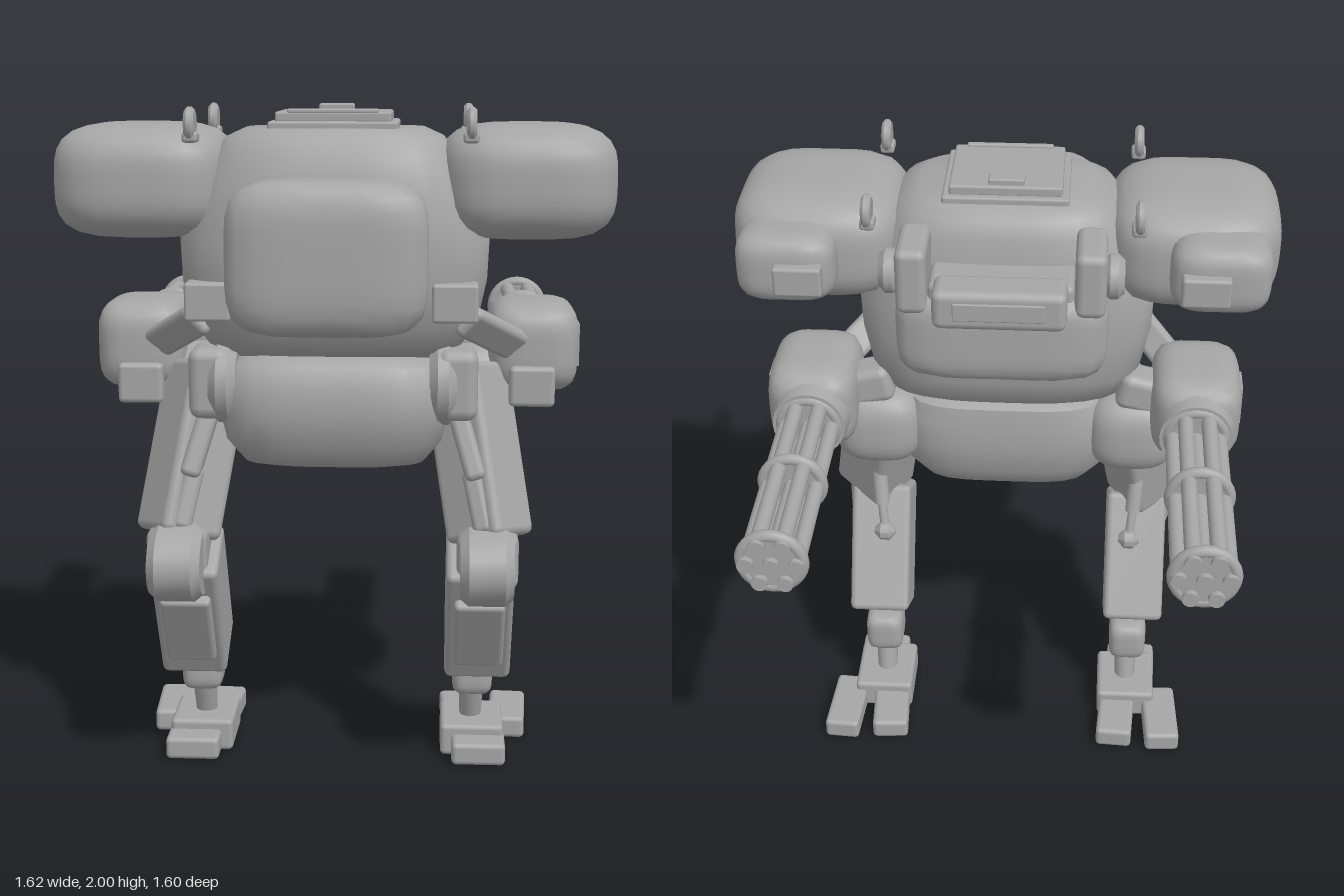
import * as THREE from 'three';
import { mergeVertices, toCreasedNormals } from 'three/addons/utils/BufferGeometryUtils.js';
import { RoundedBoxGeometry } from 'three/addons/geometries/RoundedBoxGeometry.js';

const steel = new THREE.MeshStandardMaterial({ color: 0xa6a6a6 });
steel.name = 'grey steel';
const UP = new THREE.Vector3(0, 1, 0);

function add(parent, name, geo) {
  const mesh = new THREE.Mesh(geo, steel);
  mesh.name = name;
  parent.add(mesh);
  return mesh;
}

// Soft-edged box given by its extents [min, max] on each axis
function box(parent, name, x, y, z, r = 0.015) {
  const w = Math.abs(x[1] - x[0]), h = y[1] - y[0], d = z[1] - z[0];
  const mesh = add(parent, name, new RoundedBoxGeometry(w, h, d, 2, Math.min(r, w / 2.1, h / 2.1, d / 2.1)));
  mesh.position.set((x[0] + x[1]) / 2, (y[0] + y[1]) / 2, (z[0] + z[1]) / 2);
  return mesh;
}

// Swollen armour shell: a sphere pushed out towards its bounding box
function shell(parent, name, x, y, z, n = 3.5) {
  const geo = new THREE.SphereGeometry(1, 32, 20);
  const p = geo.attributes.position;
  const half = [x, y, z].map(([a, b]) => Math.abs(b - a) / 2);
  for (let i = 0; i < p.count; i++) {
    const v = [p.getX(i), p.getY(i), p.getZ(i)];
    const k = v.reduce((sum, c) => sum + Math.abs(c) ** n, 0) ** (-1 / n);
    p.setXYZ(i, v[0] * k * half[0], v[1] * k * half[1], v[2] * k * half[2]);
  }
  geo.deleteAttribute('uv');
  geo.deleteAttribute('normal');
  const merged = mergeVertices(geo);
  merged.computeVertexNormals();
  const mesh = add(parent, name, merged);
  mesh.position.set((x[0] + x[1]) / 2, (y[0] + y[1]) / 2, (z[0] + z[1]) / 2);
  return mesh;
}

// Stacked rounded cross-sections, each [y, half width, back z, front z]
function loft(parent, name, rings, n = 3.4, sides = 40) {
  const pos = [], idx = [];
  for (const [y, hx, z0, z1] of rings) {
    for (let i = 0; i < sides; i++) {
      const a = (i / sides) * Math.PI * 2, c = Math.cos(a), s = Math.sin(a);
      const k = (Math.abs(c) ** n + Math.abs(s) ** n) ** (-1 / n);
      pos.push(c * k * hx, y, (z0 + z1) / 2 + (s * k * (z1 - z0)) / 2);
    }
  }
  const last = rings.length - 1, low = pos.length / 3;
  for (const r of [rings[0], rings[last]]) pos.push(0, r[0], (r[2] + r[3]) / 2);
  for (let i = 0; i < sides; i++) {
    const j = (i + 1) % sides;
    for (let r = 0; r < last; r++) {
      const a = r * sides + i, b = r * sides + j;
      idx.push(a, a + sides, b, b, a + sides, b + sides);
    }
    idx.push(low, i, j, low + 1, last * sides + j, last * sides + i);
  }
  const geo = new THREE.BufferGeometry();
  geo.setAttribute('position', new THREE.Float32BufferAttribute(pos, 3));
  geo.setIndex(idx);
  return add(parent, name, toCreasedNormals(geo, 0.75));
}

// Turn a geometry that stands along y so that it runs from a to b
function span(mesh, a, b) {
  const from = new THREE.Vector3(...a), to = new THREE.Vector3(...b);
  mesh.position.copy(from).add(to).multiplyScalar(0.5);
  mesh.quaternion.setFromUnitVectors(UP, to.sub(from).normalize());
  return mesh;
}
const dist = (a, b) => Math.hypot(a[0] - b[0], a[1] - b[1], a[2] - b[2]);

function beam(parent, name, a, b, w, d, r = 0.02) {
  return span(add(parent, name, new RoundedBoxGeometry(w, dist(a, b), d, 2, Math.min(r, w / 2.1, d / 2.1))), a, b);
}
function rod(parent, name, a, b, r, r2 = r, sides = 16) {
  return span(add(parent, name, new THREE.CylinderGeometry(r2, r, dist(a, b), sides)), a, b);
}

// Round joint with bevelled rims, lying along x
function joint(parent, name, x0, x1, y, z, r) {
  const h = Math.abs(x1 - x0) / 2, c = Math.min(0.025, h * 0.6);
  const profile = [[0, -h], [r - c, -h], [r, c - h], [r, h - c], [r - c, h], [0, h]];
  const geo = new THREE.LatheGeometry(profile.map(([u, v]) => new THREE.Vector2(u, v)), 28);
  geo.rotateZ(Math.PI / 2);
  const mesh = add(parent, name, toCreasedNormals(geo, 0.5));
  mesh.position.set((x0 + x1) / 2, y, z);
  return mesh;
}

function buildLeg(parent, s) {
  const P = (x, y, z) => [s * x, y, z];
  const X = (a, b) => [s * a, s * b];
  // hip
  joint(parent, 'hipJoint', s * 0.28, s * 0.36, 1.2, 0.36, 0.12);
  box(parent, 'hipBlock', X(0.3, 0.42), [1.1, 1.31], [0.27, 0.45], 0.035);
  shell(parent, 'hipGuard', X(0.26, 0.54), [1.03, 1.29], [0.01, 0.24], 3);
  // thigh
  beam(parent, 'thigh', P(0.385, 1.23, 0.23), P(0.465, 0.74, 0.39), 0.19, 0.2, 0.025);
  beam(parent, 'thighStrip', P(0.36, 1.13, 0.38), P(0.42, 0.93, 0.44), 0.07, 0.06);
  beam(parent, 'thighStripLower', P(0.405, 0.96, 0.42), P(0.445, 0.78, 0.47), 0.055, 0.06);
  rod(parent, 'pistonSleeve', P(0.43, 0.9, 0.25), P(0.42, 0.76, 0.21), 0.025);
  rod(parent, 'pistonRod', P(0.43, 0.86, 0.24), P(0.41, 0.67, 0.18), 0.015);
  joint(parent, 'pistonEnd', s * 0.375, s * 0.445, 0.665, 0.18, 0.032);
  // knee
  joint(parent, 'kneeJoint', s * 0.375, s * 0.53, 0.68, 0.47, 0.14).scale.y = 0.82;
  box(parent, 'kneeBlock', X(0.365, 0.545), [0.61, 0.78], [0.32, 0.5], 0.03);
  // shin
  beam(parent, 'shin', P(0.435, 0.705, 0.41), P(0.435, 0.32, 0.2), 0.2, 0.22, 0.02);
  beam(parent, 'shinPlate', P(0.435, 0.57, 0.47), P(0.435, 0.34, 0.335), 0.15, 0.05, 0.015);
  // ankle and foot
  shell(parent, 'ankle', X(0.36, 0.485), [0.19, 0.33], [0.1, 0.25], 5);
  rod(parent, 'ankleRod', P(0.42, 0.08, 0.14), P(0.42, 0.24, 0.185), 0.033, 0.04);
  box(parent, 'foot', X(0.325, 0.52), [0, 0.1], [0.03, 0.26]);
  box(parent, 'frontToe', X(0.36, 0.525), [0, 0.07], [0.2, 0.34]);
  box(parent, 'outerToe', X(0.485, 0.6), [0, 0.07], [-0.14, 0.11]).rotation.y = -s * 0.06;
  box(parent, 'innerToe', X(0.33, 0.45), [0, 0.07], [-0.13, 0.1]).rotation.y = s * 0.06;
}

function buildArm(parent, s) {
  const X = (a, b) => [s * a, s * b];
  // shoulder pod with its rear cap
  shell(parent, 'shoulderPod', X(0.3, 0.81), [1.62, 1.95], [-0.01, 0.51], 3.6);
  shell(parent, 'podRearCap', X(0.48, 0.77), [1.69, 1.9], [-0.12, 0.1], 4);
  box(parent, 'podRearPlate', X(0.51, 0.65), [1.74, 1.83], [-0.15, -0.1], 0.01);
  // lifting lugs
  for (const z of [0.51, -0.01]) {
    joint(parent, 'liftingLug', s * 0.375, s * 0.403, 1.95, z, 0.048);
    box(parent, 'lugBase', X(0.366, 0.41), [1.9, 1.93], [z - 0.03, z + 0.03], 0.01);
  }
  // struts from the torso to the gun pod
  box(parent, 'armMount', X(0.285, 0.415), [1.4, 1.51], [0.39, 0.52], 0.01);
  beam(parent, 'armStrut', [s * 0.38, 1.4, 0.44], [s * 0.56, 1.28, 0.22], 0.05, 0.1);
  beam(parent, 'armAxle', [s * 0.35, 1.33, 0.1], [s * 0.52, 1.29, 0.1], 0.12, 0.12, 0.03);
  // gun pod
  shell(parent, 'gunPod', X(0.45, 0.725), [1.15, 1.42], [-0.08, 0.28], 4.2);
  box(parent, 'ammoBox', X(0.515, 0.65), [1.12, 1.24], [0.1, 0.305]);
  box(parent, 'podSidePlate', X(0.72, 0.73), [1.22, 1.35], [0.06, 0.16], 0.003);
  rod(parent, 'gunCollar', [s * 0.585, 1.275, 0], [s * 0.585, 1.275, -0.11], 0.125, 0.11, 28);
  // barrels around a central one, clamped by rings
  const bar = (x, y) => rod(parent, 'gunBarrel', [s * 0.585 + x, 1.275 + y, -0.05], [s * 0.585 + x, 1.275 + y, -0.8], 0.023);
  bar(0, 0);
  for (let i = 0; i < 6; i++) bar(0.07 * Math.cos((i * Math.PI) / 3), 0.07 * Math.sin((i * Math.PI) / 3));
  for (const z of [-0.1, -0.41, -0.77]) {
    const ring = add(parent, 'barrelClamp', new THREE.TorusGeometry(0.085, 0.018, 10, 32));
    ring.position.set(s * 0.585, 1.275, z);
    rod(parent, 'barrelDisc', [s * 0.585, 1.275, z + 0.014], [s * 0.585, 1.275, z - 0.014], 0.088, 0.088, 32);
  }
}

export function createModel() {
  const model = new THREE.Group();
  model.name = 'walker';

  // torso and pelvis
  loft(model, 'torso', [
    [1.27, 0.3, 0.06, 0.38], [1.3, 0.37, 0.02, 0.44], [1.38, 0.42, -0.01, 0.5], [1.5, 0.445, -0.02, 0.52],
    [1.62, 0.45, -0.02, 0.525], [1.75, 0.405, -0.02, 0.52], [1.86, 0.35, 0, 0.5], [1.91, 0.315, 0.02, 0.47], [1.935, 0.26, 0.05, 0.44],
  ]);
  loft(model, 'pelvis', [
    [0.945, 0.2, 0.1, 0.36], [0.965, 0.27, 0.07, 0.43], [1.03, 0.32, 0.03, 0.48], [1.12, 0.34, 0.02, 0.495],
    [1.2, 0.34, 0.02, 0.495], [1.26, 0.31, 0.03, 0.47], [1.285, 0.25, 0.07, 0.42],
  ], 4);
  shell(model, 'chestPod', [-0.275, 0.275], [1.39, 1.81], [0.52, 0.8], 4.8);

  // roof hatch
  box(model, 'hatchFrame', [-0.185, 0.185], [1.92, 1.955], [0.08, 0.41], 0.008);
  box(model, 'hatchLid', [-0.165, 0.165], [1.95, 1.982], [0.1, 0.39], 0.008);
  box(model, 'hatchHandle', [-0.055, 0.05], [1.975, 2], [0.11, 0.155], 0.006);
  box(model, 'hatchHinge', [-0.13, 0.13], [1.975, 1.99], [0.37, 0.39], 0.006);

  // rear housing and sensor
  shell(model, 'rearHousing', [-0.31, 0.31], [1.47, 1.76], [-0.17, 0.12], 5);
  box(model, 'sensorBar', [-0.19, 0.19], [1.7, 1.82], [-0.245, -0.12], 0.025);
  box(model, 'sensorLens', [-0.13, 0.13], [1.735, 1.79], [-0.25, -0.2], 0.004);
  box(model, 'sensorNeck', [-0.21, 0.21], [1.68, 1.79], [-0.14, 0.04], 0.02);
  for (const s of [-1, 1]) {
    box(model, 'sensorBracket', [s * 0.21, s * 0.3], [1.7, 1.9], [-0.165, 0.04], 0.025);
    joint(model, 'bracketPivot', s * 0.29, s * 0.35, 1.8, -0.08, 0.065);
    buildArm(model, s);
    buildLeg(model, s);
  }
  return model;
}
